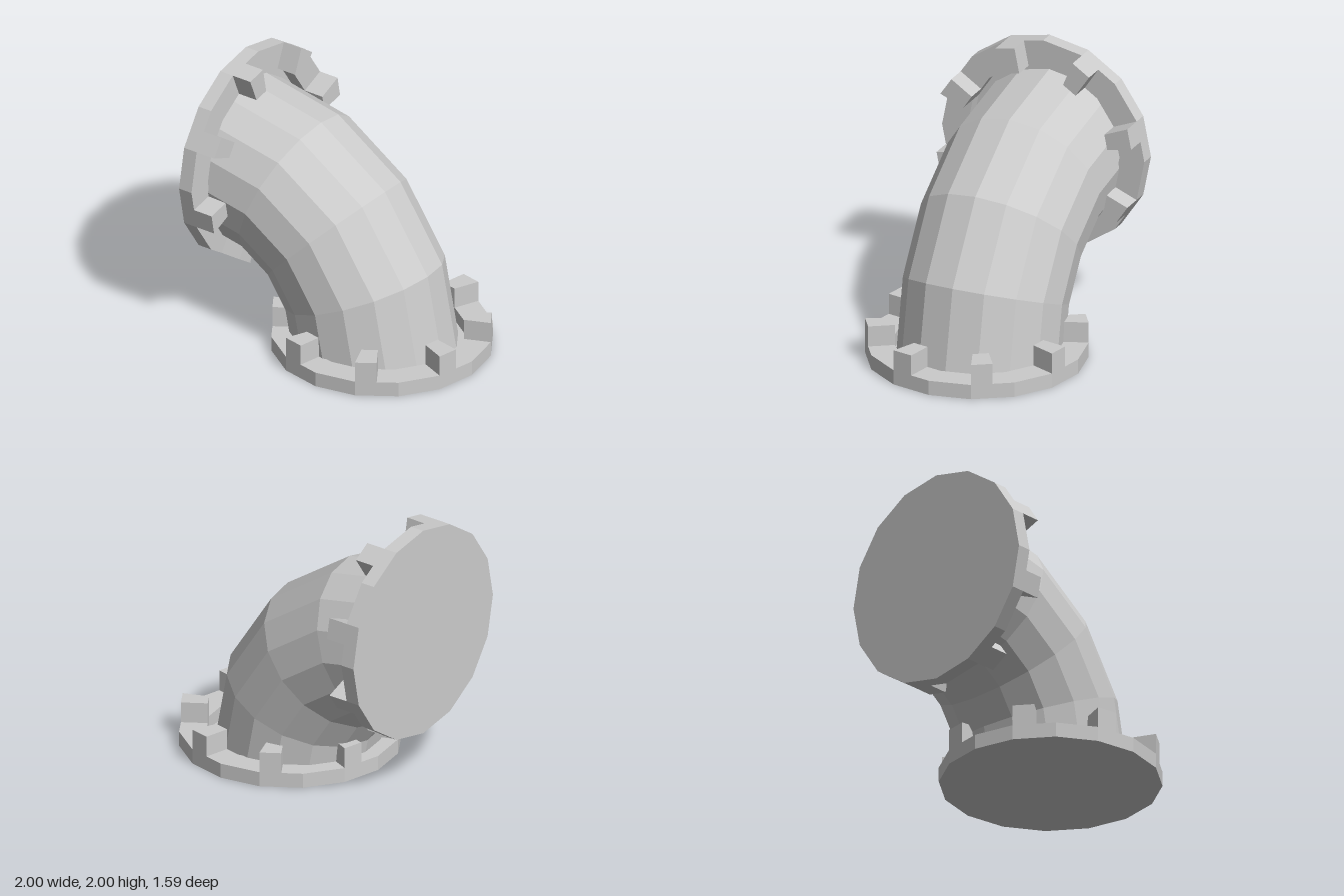
import * as THREE from 'three';

const SIDES = 16;
const STEP = (Math.PI * 2) / SIDES;
const OUTER = 0.795, INNER = 0.6;
const RING_H = 0.11, LUG_H = 0.265;

const material = new THREE.MeshStandardMaterial({ color: 0xcccccc, flatShading: true });

function mesh(name, geometry) {
  const m = new THREE.Mesh(geometry, material);
  m.name = name;
  return m;
}

const polar = (r, a) => new THREE.Vector2(r * Math.cos(a), r * Math.sin(a));
const polygon = (r) => Array.from({ length: SIDES }, (_, i) => polar(r, i * STEP));

// Extrude a plan shape (x, z) between two heights
function slab(shape, y0, y1) {
  const lo = Math.min(y0, y1), hi = Math.max(y0, y1);
  const g = new THREE.ExtrudeGeometry(shape, { depth: hi - lo, bevelEnabled: false });
  return g.rotateX(Math.PI / 2).translate(0, hi, 0);
}

// Flange whose lugs rise towards dir (+1 up, -1 down)
function flange(name, dir) {
  const group = new THREE.Group();
  group.name = name;

  const ring = new THREE.Shape(polygon(OUTER));
  ring.holes.push(new THREE.Path(polygon(INNER).reverse()));
  group.add(mesh('flangeRing', slab(ring, 0, dir * RING_H)));
  group.add(mesh('flangeCap', slab(new THREE.Shape(polygon(INNER)), 0, dir * 0.01)));

  // Eight lugs, each covering half of one ring side
  const mid = Math.cos(STEP / 2);
  for (let i = 0; i < 8; i++) {
    const a = i * 2 * STEP + STEP / 2, b = a + STEP / 2;
    const lug = new THREE.Shape([
      polar(INNER * mid, a), polar(OUTER * mid, a), polar(OUTER, b), polar(INNER, b),
    ]);
    group.add(mesh('flangeLug', slab(lug, dir * RING_H, dir * LUG_H)));
  }
  return group;
}

export function createModel() {
  const model = new THREE.Group();
  model.name = 'pipeElbow';

  // Quarter-turn pipe
  const pipe = mesh('elbowPipe', new THREE.TorusGeometry(1.142, 0.598, SIDES, 4, Math.PI / 2));
  pipe.position.x = -1;
  model.add(pipe);

  // Flange on the ground
  const lower = flange('lowerFlange', 1);
  lower.position.set(0.205, 0, 0);
  model.add(lower);

  // Flange on the side opening
  const upper = flange('sideFlange', -1);
  upper.rotation.z = Math.PI / 2;
  upper.position.set(-1, 1.205, 0);
  model.add(upper);

  return model;
}
